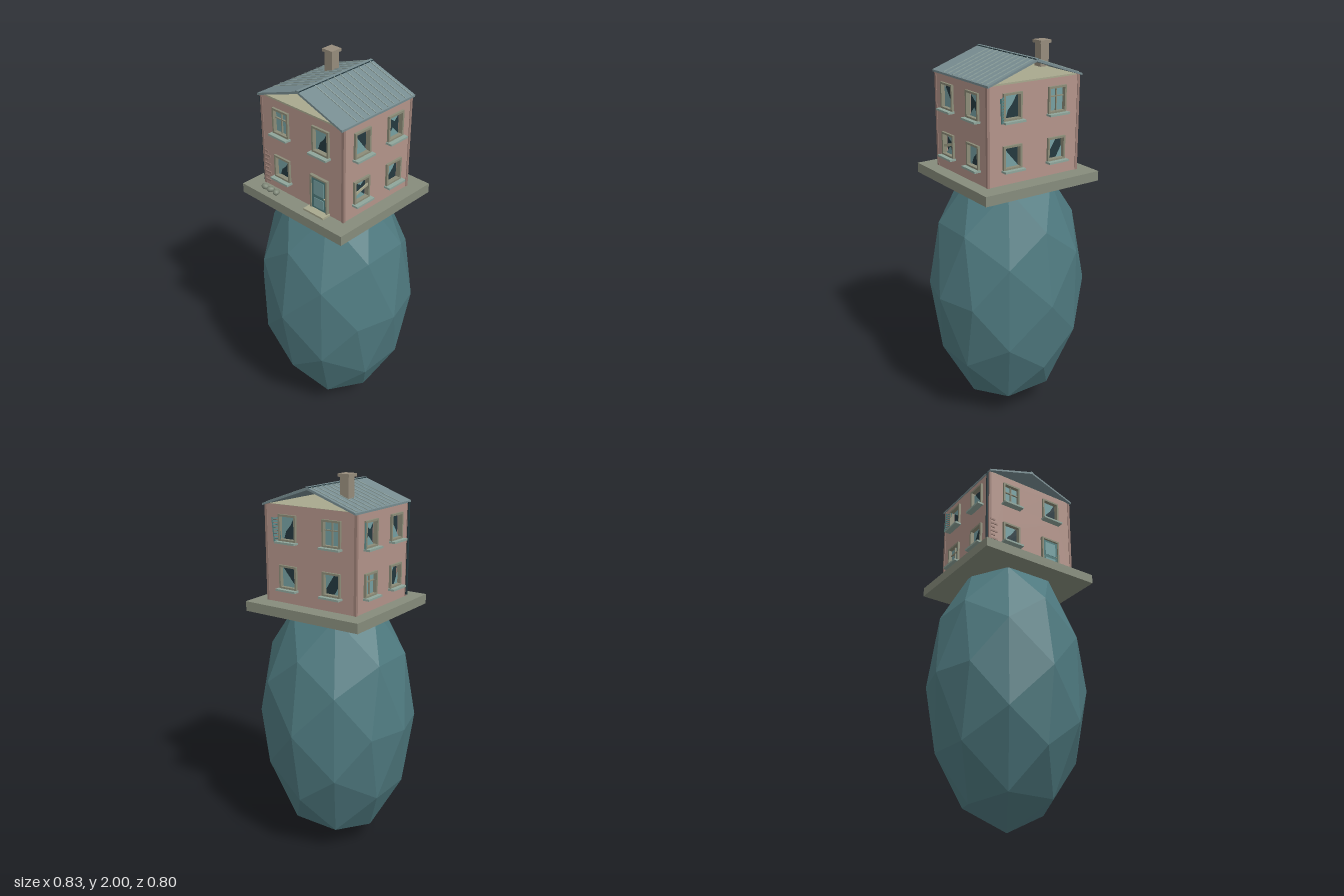
import * as THREE from 'three';

const mat = (color, extra = {}) => new THREE.MeshStandardMaterial({ color, ...extra });
const M = {
  rock: mat(0x4f7a80, { flatShading: true }),
  slab: mat(0x868c7c),
  wall: mat(0xb3948a),
  pilaster: mat(0x9c7f76),
  roof: mat(0x778c90, { side: THREE.DoubleSide }),
  seam: mat(0x8fa3a0),
  dark: mat(0x24383e),
  frame: mat(0x8c8c78),
  sill: mat(0x8fa59b),
  glass: mat(0x76a0a2, { side: THREE.DoubleSide }),
  door: mat(0x4f7a7a),
  stone: mat(0x7f8878),
  chimney: mat(0x968c7c),
  cream: mat(0xa8a88e),
};

function add(parent, name, geometry, material, x = 0, y = 0, z = 0) {
  const mesh = new THREE.Mesh(geometry, material);
  mesh.name = name;
  mesh.position.set(x, y, z);
  parent.add(mesh);
  return mesh;
}
const box = (parent, name, material, w, h, d, x, y, z) =>
  add(parent, name, new THREE.BoxGeometry(w, h, d), material, x, y, z);
const polygon = (points) => new THREE.Shape(points.map(([x, y]) => new THREE.Vector2(x, y)));
const rect = (x, y, w, h) => [
  [x - w / 2, y - h / 2], [x + w / 2, y - h / 2], [x + w / 2, y + h / 2], [x - w / 2, y + h / 2],
];

const BASE = 1.36, TOP = 1.845, HX = 0.267, HZ = 0.23;

// Broken panes as polygons in a unit square
const PANES = {
  diagonal: [[[-0.5, 0.5], [0.4, 0.5], [0.1, 0.1], [-0.2, -0.15], [-0.35, -0.5], [-0.5, -0.5]]],
  lower: [[[-0.5, 0.5], [-0.5, -0.5], [0.5, -0.5]]],
  wedges: [
    [[-0.5, 0.5], [0.5, 0.5], [0.1, 0.15]],
    [[-0.5, -0.5], [0.45, -0.5], [-0.05, -0.1]],
  ],
  corner: [[[-0.5, 0.5], [0.1, 0.5], [-0.5, -0.3]], [[0.5, -0.5], [0.5, 0.1], [0.1, -0.5]]],
};

// Frame, sill and glazing in wall space: z = 0 is the outer wall surface
function makeWindow(wall, x, y, h, style) {
  const g = new THREE.Group();
  g.name = 'window';
  g.position.set(x, y, 0);
  wall.add(g);
  const w = 0.105, t = 0.01;
  for (const s of [-1, 1]) {
    box(g, 'frameSide', M.frame, t, h, 0.024, s * (w - t) / 2, 0, 0);
    box(g, 'frameRail', M.frame, w, t, 0.024, 0, s * (h - t) / 2, 0);
  }
  box(g, 'windowSill', M.sill, 0.118, 0.01, 0.045, 0, -h / 2 - 0.004, 0.0125);
  const gw = w - 2 * t, gh = h - 2 * t;
  if (style === 'whole') {
    add(g, 'pane', new THREE.PlaneGeometry(gw, gh), M.glass, 0, 0, -0.008);
    box(g, 'mullion', M.frame, 0.005, gh, 0.008, 0, 0, -0.004);
    box(g, 'crossbar', M.frame, gw, 0.005, 0.008, 0, 0.015, -0.004);
    return;
  }
  const shards = PANES[style === 'boarded' ? 'wedges' : style];
  for (const points of shards) {
    const shape = polygon(points.map(([a, b]) => [a * gw, b * gh]));
    add(g, 'glassShard', new THREE.ShapeGeometry(shape), M.glass, 0, 0, -0.008);
  }
  if (style === 'boarded') {
    box(g, 'plank', M.cream, 0.1, 0.012, 0.006, 0, 0, 0.004).rotation.z = 0.25;
  }
}

// One wall with window openings; styles: lower -x, lower +x, upper -x, upper +x
function makeWall(house, name, width, distance, turn, offset, styles) {
  const pivot = new THREE.Group();
  pivot.name = name;
  pivot.rotation.y = turn;
  house.add(pivot);
  const wall = new THREE.Group();
  wall.name = name + 'Face';
  wall.position.z = distance;
  pivot.add(wall);
  const outline = polygon(rect(0, (BASE + TOP) / 2, width, TOP - BASE));
  styles.forEach((style, i) => {
    const x = i % 2 ? offset : -offset;
    const [y, h] = i < 2 ? [1.4925, 0.118] : [1.735, 0.13];
    if (style === 'door') return;
    outline.holes.push(new THREE.Path(rect(x, y, 0.1, h - 0.006).map((p) => new THREE.Vector2(...p))));
    makeWindow(wall, x, y, h, style);
  });
  add(wall, 'wallPanel', new THREE.ExtrudeGeometry(outline, { depth: 0.02, bevelEnabled: false }), M.wall, 0, 0, -0.02);
  return wall;
}

// Louvred shutter hanging ajar
function makeShutter(wall, x, y, swing, tilt) {
  const g = new THREE.Group();
  g.name = 'shutter';
  g.position.set(x, y, 0.014);
  g.rotation.set(0, swing, tilt);
  wall.add(g);
  for (const s of [-1, 1]) box(g, 'shutterStile', M.door, 0.005, 0.12, 0.006, s * 0.016, 0, 0);
  for (let i = 0; i < 9; i++) {
    box(g, 'shutterSlat', M.door, 0.032, 0.009, 0.003, 0, -0.054 + i * 0.0135, 0).rotation.x = -0.5;
  }
}

export function createModel() {
  const root = new THREE.Group();
  root.name = 'houseOnRock';

  // Faceted rock and platform
  const rock = add(root, 'rock', new THREE.IcosahedronGeometry(1, 1), M.rock, 0, 0.728, 0);
  rock.scale.set(0.416, 0.728, 0.402);
  box(root, 'platform', M.slab, 0.674, 0.05, 0.64, 0, 1.335, 0);

  const house = new THREE.Group();
  house.name = 'house';
  root.add(house);

  // Dark interior, ceiling and four walls
  box(house, 'interior', M.dark, 2 * HX - 0.046, TOP - BASE - 0.01, 2 * HZ - 0.046, 0, (BASE + TOP) / 2 - 0.005, 0);
  box(house, 'ceiling', M.cream, 2 * HX, 0.008, 2 * HZ, 0, TOP - 0.003, 0);
  const front = makeWall(house, 'frontWall', 2 * HX, HZ, 0, 0.13, ['diagonal', 'door', 'whole', 'diagonal']);
  const back = makeWall(house, 'backWall', 2 * HX, HZ, Math.PI, 0.13, ['lower', 'corner', 'diagonal', 'whole']);
  makeWall(house, 'leftWall', 2 * HZ, HX, Math.PI / 2, 0.113, ['boarded', 'diagonal', 'lower', 'wedges']);
  const right = makeWall(house, 'rightWall', 2 * HZ, HX, -Math.PI / 2, 0.113, ['whole', 'corner', 'wedges', 'lower']);
  makeShutter(back, -0.19, 1.725, 0.5, 0.08);
  makeShutter(right, -0.175, 1.735, 0.5, -0.08);

  // Corner pilasters and downpipe
  for (const sx of [-1, 1]) for (const sz of [-1, 1]) {
    box(house, 'cornerPilaster', M.pilaster, 0.014, TOP - BASE, 0.014, sx * (HX - 0.004), (BASE + TOP) / 2, sz * (HZ - 0.004));
  }
  add(house, 'downpipe', new THREE.CylinderGeometry(0.006, 0.006, 0.47, 8), M.dark, -0.276, 1.605, 0.222);

  // Door, its frame and the step
  box(front, 'door', M.door, 0.095, 0.175, 0.014, 0.12, 1.4475, 0.003);
  for (const s of [-1, 1]) box(front, 'doorJamb', M.frame, 0.009, 0.186, 0.022, 0.12 + s * 0.051, 1.453, 0.005);
  box(front, 'doorLintel', M.frame, 0.111, 0.009, 0.022, 0.12, 1.5425, 0.005);
  for (const y of [1.405, 1.485]) box(front, 'doorPanel', M.glass, 0.065, y > 1.45 ? 0.075 : 0.05, 0.004, 0.12, y, 0.01);
  box(front, 'doorStep', M.cream, 0.13, 0.01, 0.05, 0.118, 1.365, 0.025);
  add(front, 'doorKnob', new THREE.SphereGeometry(0.004, 8, 6), M.cream, 0.157, 1.445, 0.013);

  // Exposed bricks at the front corner
  for (let i = 0; i < 8; i++) {
    box(front, 'brick', M.pilaster, i % 2 ? 0.028 : 0.042, 0.009, 0.005, i % 2 ? -0.246 : -0.239, 1.385 + i * 0.023, 0.002);
  }

  // Three stones on the platform
  [-0.22, -0.18, -0.14].forEach((x, i) => {
    const stone = add(root, 'stone', new THREE.SphereGeometry(1, 10, 7), M.stone, x, 1.373, 0.275);
    stone.scale.set(0.021, 0.015, 0.017);
    stone.rotation.y = i;
  });

  // Open-gabled roof
  const roof = new THREE.Group();
  roof.name = 'roof';
  house.add(roof);
  const [rx, eave, ridge, rz] = [0.272, 1.846, 1.94, 0.247];
  const chevron = polygon([
    [-rx, eave - 0.01], [0, ridge - 0.012], [rx, eave - 0.01], [rx, eave], [0, ridge], [-rx, eave],
  ]);
  add(roof, 'roofSheet', new THREE.ExtrudeGeometry(chevron, { depth: 2 * rz, bevelEnabled: false }), M.roof, 0, 0, -rz);
  const slope = Math.atan2(ridge - eave, rx), length = Math.hypot(ridge - eave, rx);
  for (const s of [-1, 1]) {
    for (let i = 0; i < 10; i++) {
      const seam = box(roof, 'roofSeam', M.seam, length - 0.01, 0.005, 0.004, s * rx / 2, (eave + ridge) / 2 + 0.001, -0.225 + i * 0.041);
      seam.rotation.z = -s * slope;
    }
    box(roof, 'ridgeEdge', M.dark, 0.003, 0.004, 2 * rz, s * 0.008, ridge - 0.001, 0);
  }
  box(roof, 'ridgeCap', M.roof, 0.014, 0.005, 2 * rz, 0, ridge, 0);

  // Chimney
  box(house, 'chimneyStack', M.chimney, 0.048, 0.11, 0.048, -0.131, 1.93, -0.108);
  box(house, 'chimneyCap', M.chimney, 0.064, 0.015, 0.064, -0.131, 1.9925, -0.108);

  return root;
}
